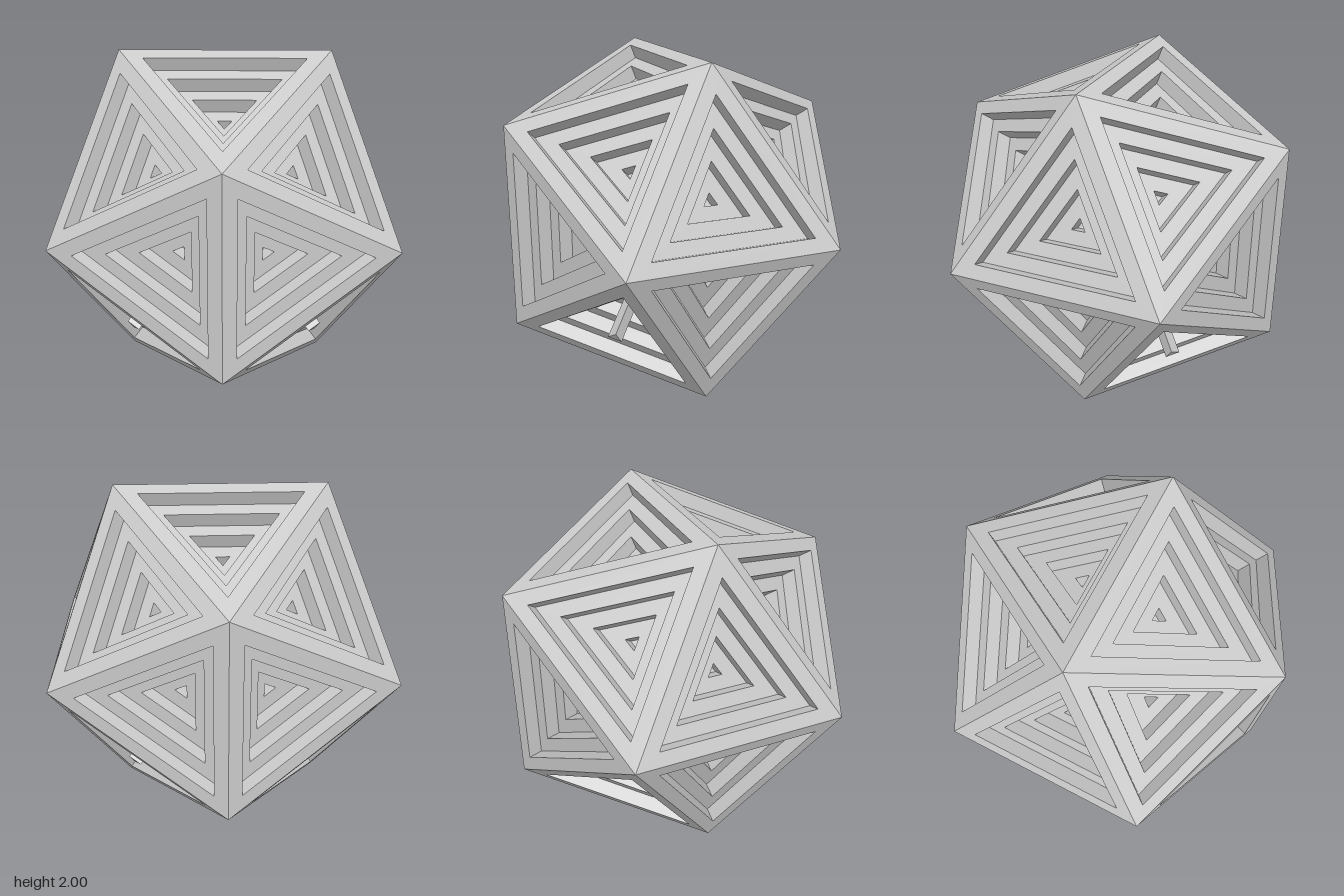
import * as THREE from 'three';

const STEP = 0.087; // depth of one terrace
const SCALES = [1, 0.765, 0.5325, 0.3, 0.0675]; // nested triangles, outer to inner

// Flat-faced surface through a run of [scale, depth] triangles, closed at the last one
function terraces(corners, center, normal, profile) {
  const loops = profile.map(([s, d]) => corners.map((c) =>
    center.clone().lerp(c, s).addScaledVector(normal, -d)));
  const tris = [];
  for (let k = 0; k + 1 < loops.length; k++) {
    const a = loops[k], b = loops[k + 1];
    for (let i = 0; i < 3; i++) {
      const j = (i + 1) % 3;
      tris.push(a[i], a[j], b[j], a[i], b[j], b[i]);
    }
  }
  tris.push(...loops[loops.length - 1]);
  const geometry = new THREE.BufferGeometry().setFromPoints(tris);
  geometry.computeVertexNormals();
  return geometry;
}

export function createModel() {
  const group = new THREE.Group();
  group.name = 'steppedIcosahedron';
  const material = new THREE.MeshStandardMaterial({ color: 0xcccccc, flatShading: true });
  const add = (name, geometry) => {
    const mesh = new THREE.Mesh(geometry, material);
    mesh.name = name;
    mesh.position.y = 1;
    group.add(mesh);
  };

  // Base solid: its vertices reach 1 unit along each axis
  const golden = (1 + Math.sqrt(5)) / 2;
  const base = new THREE.IcosahedronGeometry(Math.hypot(1, 1 / golden)).attributes.position;

  // Rim, then wall and ledge for each terrace
  const rings = [[1, 0]];
  for (let k = 1; k < SCALES.length; k++) {
    rings.push([SCALES[k], (k - 1) * STEP]);
    if (k < SCALES.length - 1) rings.push([SCALES[k], k * STEP]);
  }
  const core = SCALES[4];

  for (let f = 0; f < base.count; f += 3) {
    const corners = [0, 1, 2].map((i) => new THREE.Vector3().fromBufferAttribute(base, f + i));
    const center = new THREE.Vector3();
    corners.forEach((c) => center.addScaledVector(c, 1 / 3));
    const normal = center.clone().normalize();

    // Three of the lower diagonal faces carry a peg in place of the central pit
    const diagonal = Math.min(...center.toArray().map(Math.abs)) > 0.4;
    const hasPeg = diagonal && center.y < 0 && (center.x > 0 || center.z > 0);
    if (hasPeg) {
      add('steppedFace', terraces(corners, center, normal, rings));
      add('centrePeg', terraces(corners, center, normal, [[core, 3 * STEP], [core, 0]]));
    } else {
      add('steppedFace', terraces(corners, center, normal, [...rings, [core, 4 * STEP]]));
    }
  }
  return group;
}
